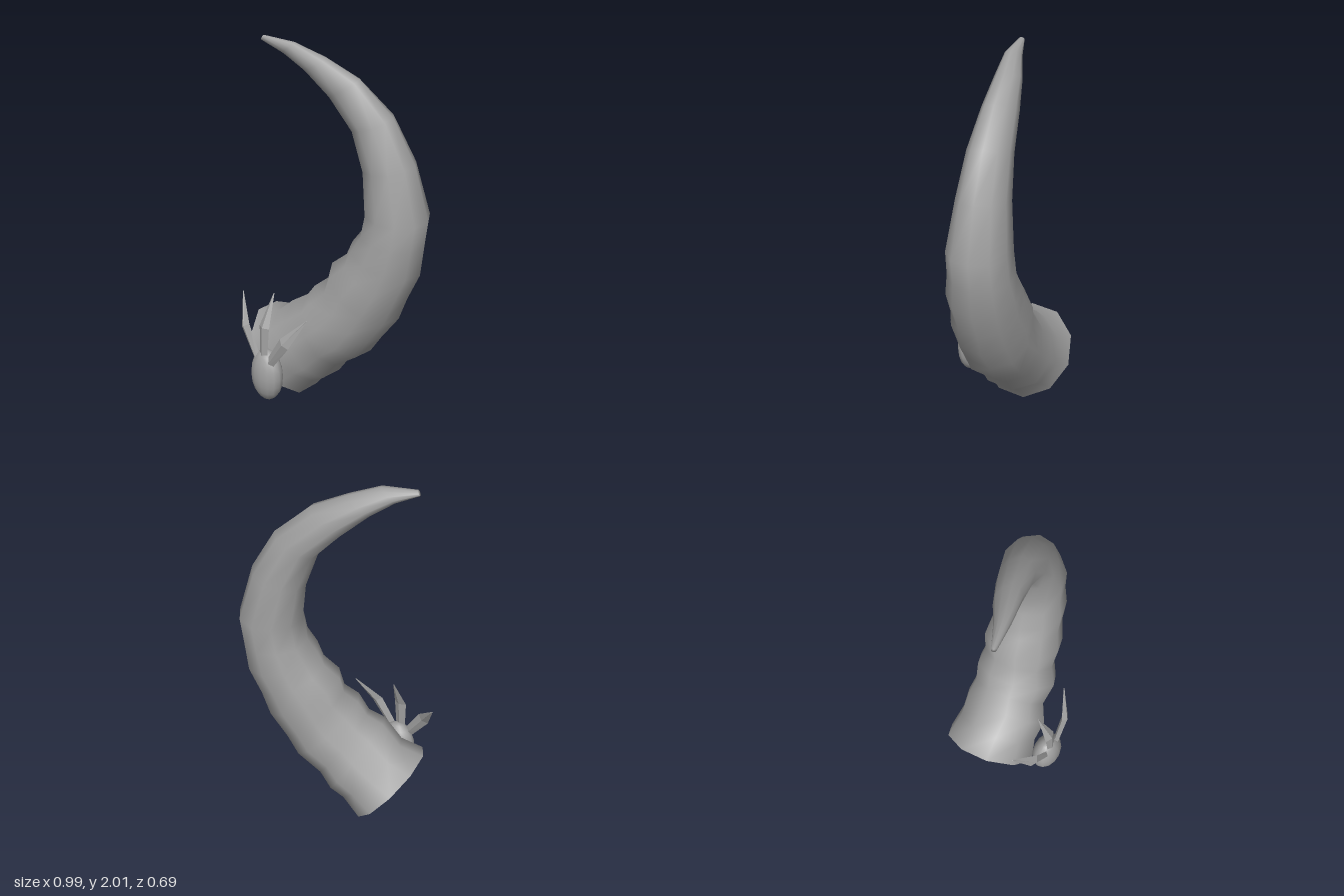
import * as THREE from 'three';

const V = (x, y, z) => new THREE.Vector3(x, y, z);

// Skin a list of rings { c, u, w }: centre and two half-axis vectors
function loft(rings, sides, phase) {
  const pos = [], idx = [];
  for (const { c, u, w } of rings) {
    for (let k = 0; k < sides; k++) {
      const a = ((k + phase) / sides) * Math.PI * 2;
      const p = c.clone().addScaledVector(u, Math.cos(a)).addScaledVector(w, Math.sin(a));
      pos.push(p.x, p.y, p.z);
    }
  }
  for (let i = 0; i < rings.length - 1; i++) {
    for (let k = 0; k < sides; k++) {
      const a = i * sides + k, b = i * sides + ((k + 1) % sides);
      idx.push(a, a + sides, b, b, a + sides, b + sides);
    }
  }
  const g = new THREE.BufferGeometry();
  g.setAttribute('position', new THREE.Float32BufferAttribute(pos, 3));
  g.setIndex(idx);
  g.computeVertexNormals();
  return g;
}

// Ridged, curling horn: inner x, y, outer x, y, centre z, half depth
const HORN = [
  [-0.49, 0.40, -0.17, 0.00, -0.01, 0.25],
  [-0.36, 0.43, -0.09, 0.10, -0.03, 0.225],
  [-0.25, 0.53, -0.02, 0.14, -0.04, 0.235],
  [-0.17, 0.58, 0.04, 0.23, -0.065, 0.205],
  [-0.12, 0.65, 0.18, 0.33, -0.08, 0.225],
  [-0.05, 0.71, 0.24, 0.43, -0.105, 0.195],
  [-0.03, 0.80, 0.34, 0.57, -0.12, 0.21],
  [0.05, 0.87, 0.385, 0.70, -0.14, 0.185],
  [0.08, 0.95, 0.45, 0.85, -0.155, 0.19],
  [0.135, 1.03, 0.465, 1.00, -0.165, 0.17],
  [0.16, 1.16, 0.485, 1.15, -0.17, 0.166],
  [0.135, 1.38, 0.41, 1.43, -0.158, 0.132],
  [0.07, 1.58, 0.29, 1.66, -0.13, 0.108],
  [-0.06, 1.73, 0.12, 1.83, -0.08, 0.08],
  [-0.18, 1.85, -0.05, 1.92, -0.02, 0.058],
  [-0.28, 1.925, -0.20, 1.985, 0.04, 0.036],
  [-0.385, 1.975, -0.37, 2.0, 0.088, 0.013],
];

function hornGeometry() {
  const sides = 10, flat = Math.cos(Math.PI / sides);
  const centres = HORN.map(([ix, iy, ox, oy, z]) => V((ix + ox) / 2, (iy + oy) / 2, z));
  const rings = HORN.map(([ix, iy, ox, oy, , depth], i) => {
    const t = centres[Math.min(i + 1, HORN.length - 1)].clone()
      .sub(centres[Math.max(i - 1, 0)]).normalize();
    // depth axis leans so that it stays square to the path
    const w = V(-t.z * t.x, -t.z * t.y, 1 - t.z * t.z);
    w.multiplyScalar(depth / w.z);
    return { c: centres[i], u: V(ox - ix, oy - iy, 0).multiplyScalar(0.5 / flat), w };
  });
  // close the tip
  rings.push({ c: centres[HORN.length - 1], u: V(0, 0, 0), w: V(0, 0, 0) });
  return loft(rings, sides, 0.5);
}

// Bent blade pointing up from its pivot: height, half width, half thickness, z
function spikeGeometry() {
  const rings = [
    [0.04, 0, 0, 0.025], [0.04, 0.025, 0.015, 0.025],
    [0.27, 0.036, 0.018, 0.012], [0.445, 0.003, 0.003, -0.062], [0.445, 0, 0, -0.062],
  ].map(([y, hw, ht, z]) => ({ c: V(0, y, z), u: V(hw, 0, 0), w: V(0, 0, ht) }));
  const g = loft(rings, 4, 0).toNonIndexed();
  g.computeVertexNormals();
  return g;
}

export function createModel() {
  const group = new THREE.Group();
  const grey = new THREE.MeshStandardMaterial({ color: 0xa0a0a0, side: THREE.DoubleSide });
  grey.name = 'grey';

  const add = (name, geometry) => {
    const mesh = new THREE.Mesh(geometry, grey);
    mesh.name = name;
    group.add(mesh);
    return mesh;
  };

  add('horn', hornGeometry());

  // Oval bead in front of the horn's base
  const bead = add('bead', new THREE.SphereGeometry(1, 14, 10));
  bead.scale.set(0.1, 0.15, 0.073);
  bead.position.set(-0.19, 0.2, 0.274);

  // Three spikes fanning out above the bead
  const spike = spikeGeometry();
  ['leftSpike', 'middleSpike', 'rightSpike'].forEach((name, i) => {
    const s = add(name, spike);
    s.position.set(-0.19, 0.22, 0.275);
    s.rotation.z = (i - 1) * 0.585;
  });

  return group;
}
